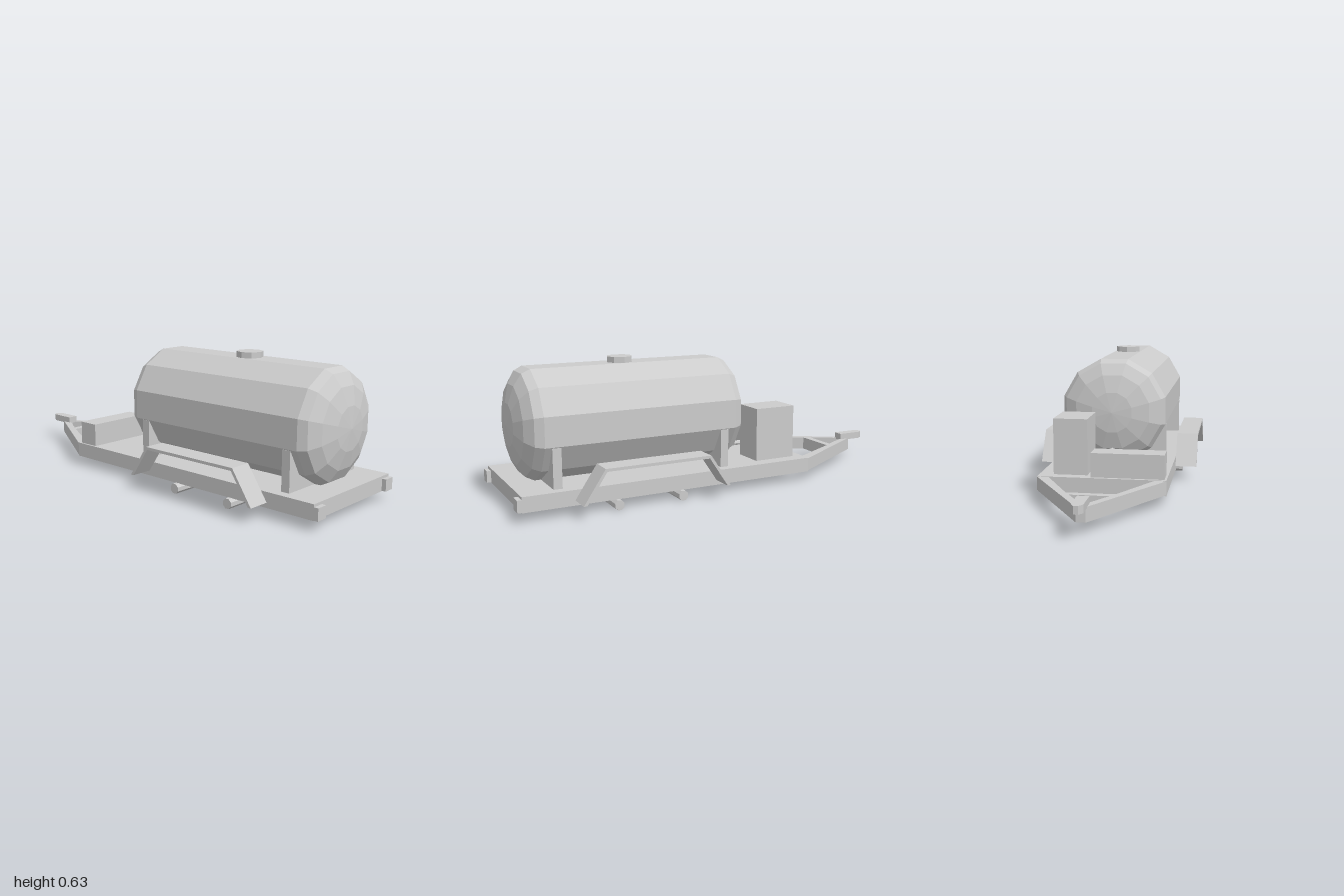
import * as THREE from 'three';

const mat = new THREE.MeshStandardMaterial({ color: 0xcccccc, flatShading: true });

export function createModel() {
  const model = new THREE.Group();

  const add = (name, geo, x = 0, y = 0, z = 0) => {
    const mesh = new THREE.Mesh(geo, mat);
    mesh.name = name;
    mesh.position.set(x, y, z);
    model.add(mesh);
    return mesh;
  };
  // Box given by its limits on each axis
  const box = (name, x0, x1, y0, y1, z0, z1) =>
    add(name, new THREE.BoxGeometry(x1 - x0, y1 - y0, z1 - z0),
      (x0 + x1) / 2, (y0 + y1) / 2, (z0 + z1) / 2);
  const shape = pts => new THREE.Shape(pts.map(p => new THREE.Vector2(...p)));
  // Flat outline (x, -z) raised to a plate
  const plate = (name, outline, height, y) => {
    const geo = new THREE.ExtrudeGeometry(outline, { depth: height, bevelEnabled: false });
    return add(name, geo.rotateX(-Math.PI / 2), 0, y, 0);
  };

  // Tank: twelve-sided, with elliptical ends
  const R = 0.256, half = 0.46, dome = 0.1, profile = [];
  for (let i = 0; i <= 4; i++) {
    const a = (i / 4) * Math.PI / 2;
    profile.push(new THREE.Vector2(R * Math.sin(a), -half - dome * Math.cos(a)));
  }
  for (const p of profile.slice().reverse()) profile.push(new THREE.Vector2(p.x, -p.y));
  add('tank', new THREE.LatheGeometry(profile, 12, Math.PI / 12).rotateX(Math.PI / 2), 0, 0.36, 0.4);
  add('tankLid', new THREE.CylinderGeometry(0.061, 0.061, 0.045, 8), 0, 0.6115, 0.42);

  // Saddles under the tank
  for (const z of [0, 0.81]) box('saddle', -0.247, 0.247, 0.11, 0.29, z - 0.02, z + 0.02);

  // Deck on a rim of beams, open underneath
  box('deckPlate', -0.29, 0.29, 0.1, 0.112, -0.45, 0.98);
  for (const s of [-1, 1]) {
    const x = s * 0.267;
    box('sideBeam', x - 0.023, x + 0.023, 0.043, 0.1, -0.45, 0.98);
    box('tailLight', s * 0.2625 - 0.0275, s * 0.2625 + 0.0275, 0.045, 0.1, 0.98, 1);
  }
  for (const z of [-0.45, 0.934]) box('endBeam', -0.244, 0.244, 0.043, 0.1, z, z + 0.046);

  // A-shaped drawbar with a crossbar
  const bar = shape([[0.29, 0.45], [0.02, 0.91], [-0.02, 0.91], [-0.29, 0.45],
    [-0.237, 0.45], [-0.105, 0.7], [0.105, 0.7], [0.237, 0.45]]);
  bar.holes.push(shape([[-0.083, 0.735], [0.083, 0.735], [0.008, 0.865], [-0.008, 0.865]]));
  plate('drawbar', bar, 0.062, 0.048);

  // Hitch coupler with a tapered nose
  plate('coupler', shape([[-0.025, 0.853], [0.025, 0.853], [0.025, 0.975],
    [0.01, 1], [-0.01, 1], [-0.025, 0.975]]), 0.034, 0.105);

  // Axles
  for (const z of [0.247, 0.557]) {
    const geo = new THREE.CylinderGeometry(0.0238, 0.0238, 0.624, 8);
    add('axle', geo.rotateY(Math.PI / 8).rotateZ(Math.PI / 2), 0, 0.022, z);
  }

  // Fenders: folded sheet, profile in (-z, y), pulled along x
  const fold = shape([[-0.75, 0.066], [-0.65, 0.215], [-0.15, 0.215], [-0.05, 0.066],
    [-0.066, 0.066], [-0.157, 0.202], [-0.643, 0.202], [-0.734, 0.066]]);
  for (const x of [-0.394, 0.29]) {
    const geo = new THREE.ExtrudeGeometry(fold, { depth: 0.104, bevelEnabled: false });
    add('fender', geo.rotateY(Math.PI / 2), x, 0, 0);
  }

  // Pump cabinet and tool box
  box('pumpCabinet', 0.07, 0.225, 0.112, 0.367, -0.4, -0.19);
  box('toolBox', -0.28, 0.05, 0.112, 0.222, -0.434, -0.33);

  // Outlet pipe with elbow and flanges
  const path = new THREE.CurvePath();
  const v = (x, z) => new THREE.Vector3(x, 0.155, z);
  path.add(new THREE.LineCurve3(v(0, -0.1), v(0, -0.26)));
  path.add(new THREE.QuadraticBezierCurve3(v(0, -0.26), v(0, -0.285), v(0.025, -0.285)));
  path.add(new THREE.LineCurve3(v(0.025, -0.285), v(0.075, -0.285)));
  add('outletPipe', new THREE.TubeGeometry(path, 28, 0.012, 8));
  add('tankFlange', new THREE.CylinderGeometry(0.032, 0.032, 0.05, 8).rotateX(Math.PI / 2), 0, 0.155, -0.13);
  add('pumpFlange', new THREE.CylinderGeometry(0.022, 0.022, 0.014, 8).rotateZ(Math.PI / 2), 0.063, 0.155, -0.285);

  return model;
}
